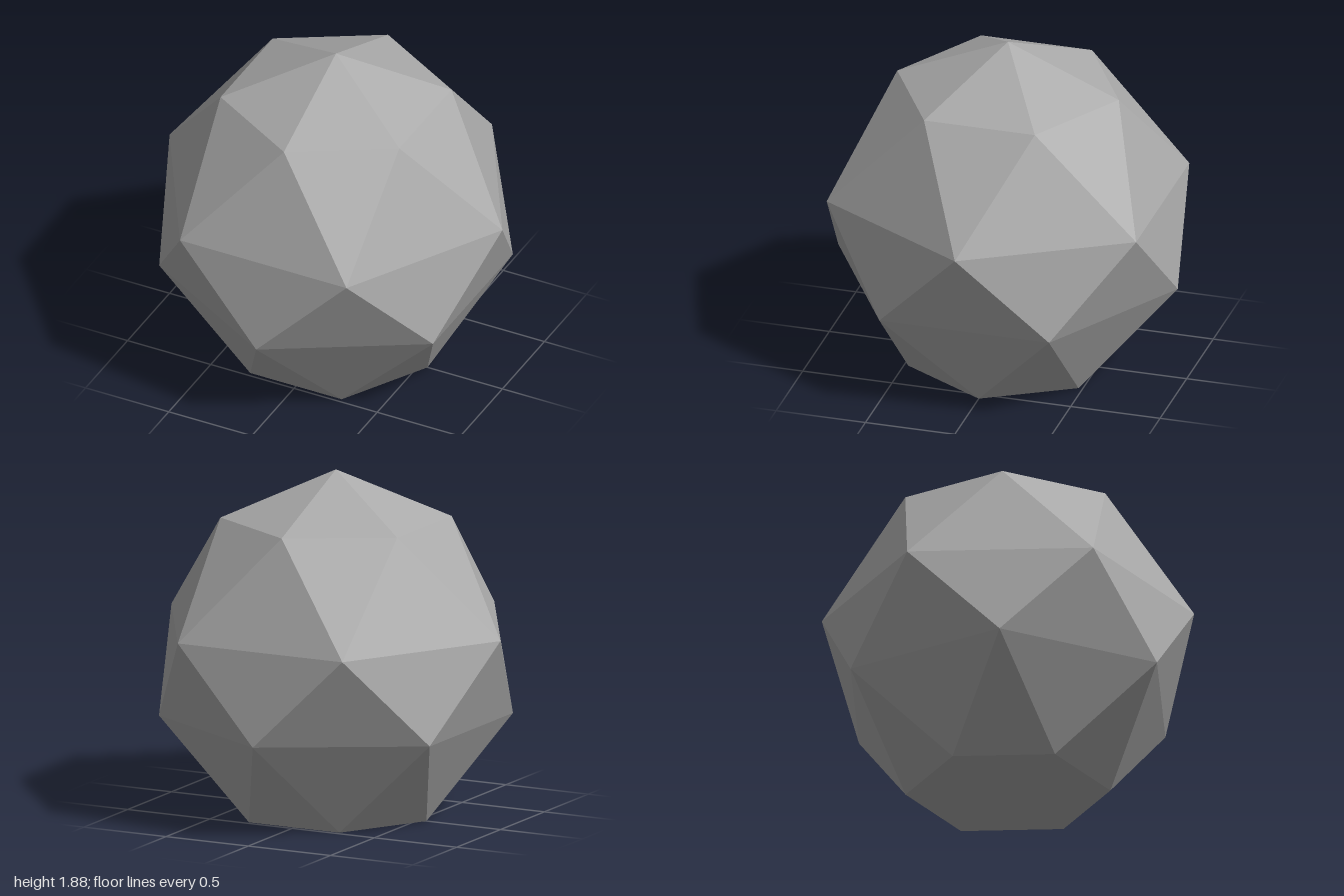
import * as THREE from 'three';

const SIDES = 6;

// Rings from the base up: height, radius, turn (in fractions of one side)
const RINGS = [
  { y: 0, r: 0.55, turn: 0.5 },
  { y: 0.53, r: 0.95, turn: 0 },
  { y: 1.035, r: 1, turn: 0.5 },
  { y: 1.615, r: 0.62, turn: 0 },
];
const APEX = [0, 1.875, 0];

function ringPoint(ring, i) {
  const a = ((i + ring.turn) / SIDES) * Math.PI * 2;
  return [ring.r * Math.sin(a), ring.y, ring.r * Math.cos(a)];
}

function facetedGeometry() {
  const positions = [];
  const tri = (a, b, c) => positions.push(...a, ...b, ...c);

  for (let i = 0; i < SIDES; i++) {
    // Staggered bands of triangles between neighbouring rings
    for (let k = 0; k < RINGS.length - 1; k++) {
      const low = RINGS[k];
      const high = RINGS[k + 1];
      const j = low.turn > high.turn ? i + 1 : i; // upper corner above this lower edge
      tri(ringPoint(low, i), ringPoint(low, i + 1), ringPoint(high, j));
      tri(ringPoint(low, i + 1), ringPoint(high, j + 1), ringPoint(high, j));
    }
    // Crown fan and flat base
    const top = RINGS[RINGS.length - 1];
    tri(ringPoint(top, i), ringPoint(top, i + 1), APEX);
    tri(ringPoint(RINGS[0], i + 1), ringPoint(RINGS[0], i), [0, 0, 0]);
  }

  const geometry = new THREE.BufferGeometry();
  geometry.setAttribute('position', new THREE.Float32BufferAttribute(positions, 3));
  geometry.computeVertexNormals(); // unshared corners give flat facets
  return geometry;
}

export function createModel() {
  const grey = new THREE.MeshStandardMaterial({ color: 0xaaaaaa });
  grey.name = 'grey';
  grey.flatShading = true;

  const model = new THREE.Group();
  model.name = 'facetedGem';
  const body = new THREE.Mesh(facetedGeometry(), grey);
  body.name = 'facetedBody';
  model.add(body);
  return model;
}
